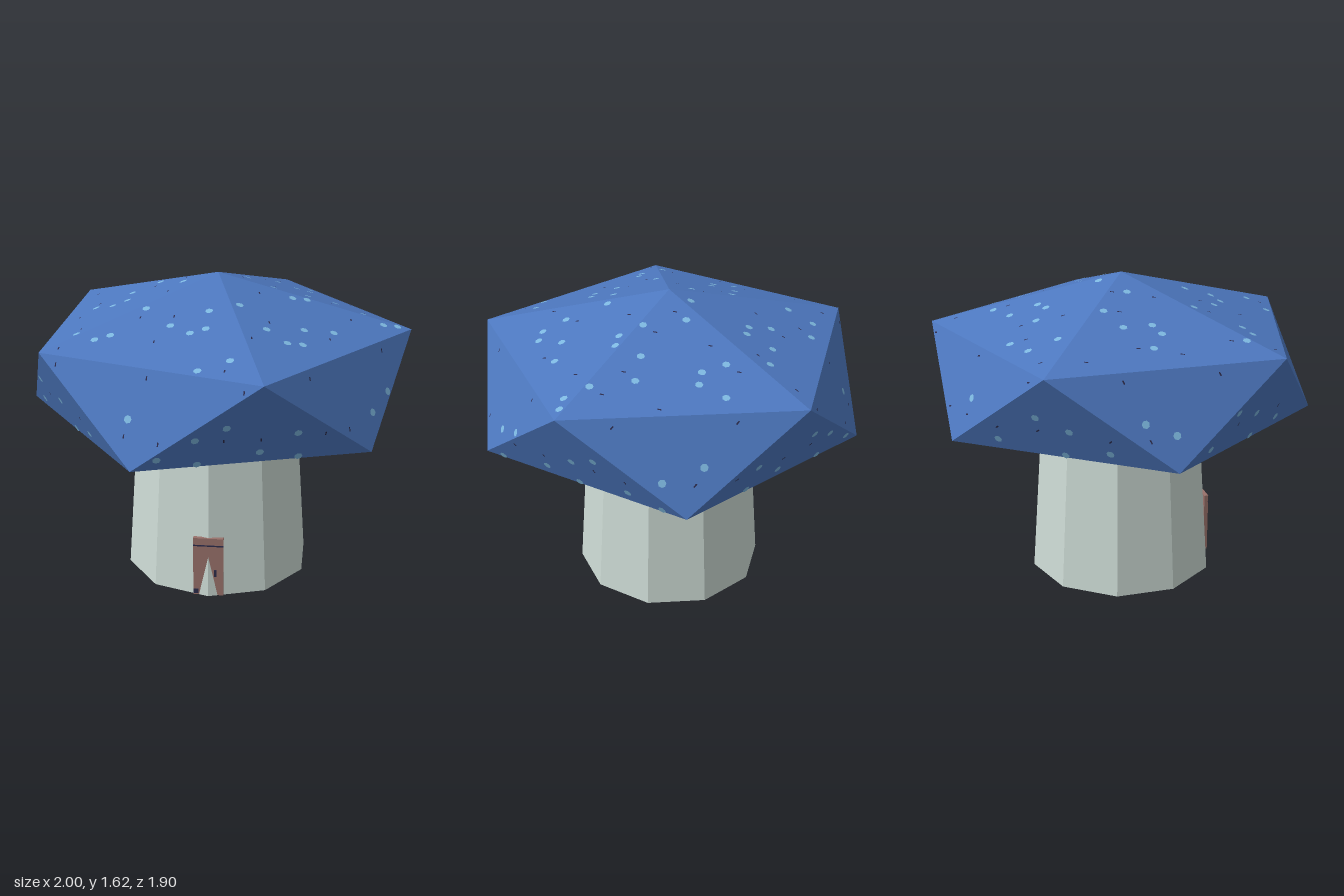
import * as THREE from 'three';
import { mergeGeometries } from 'three/addons/utils/BufferGeometryUtils.js';
import { ConvexGeometry } from 'three/addons/geometries/ConvexGeometry.js';

const material = (name, color, flatShading = true) => {
  const m = new THREE.MeshStandardMaterial({ color, flatShading });
  m.name = name;
  return m;
};

// Squashed icosahedron: two poles and two staggered rings of five
function capGeometry() {
  const points = [new THREE.Vector3(0, 1.62, 0), new THREE.Vector3(0, 0.625, 0)];
  for (let i = 0; i < 5; i++) {
    const a = (i * Math.PI * 2) / 5;
    points.push(new THREE.Vector3(Math.cos(a), 1.345, Math.sin(a)));
    points.push(new THREE.Vector3(-Math.cos(a), 0.9, Math.sin(a)));
  }
  return new ConvexGeometry(points);
}

// Repeats a cell of dots over the cap faces, projected along each face's main axis
function scatter(cap, cell, makeDot) {
  const period = 0.467;
  const pos = cap.attributes.position;
  const dots = [];
  const p = new THREE.Vector3(), n = new THREE.Vector3(), bary = new THREE.Vector3();
  const facing = new THREE.Vector3(0, 0, 1);
  for (let f = 0; f < pos.count; f += 3) {
    const [a, b, c] = [0, 1, 2].map((k) => new THREE.Vector3().fromBufferAttribute(pos, f + k));
    const face = new THREE.Triangle(a, b, c);
    face.getNormal(n);
    if (n.y < -0.7) continue; // plain underside
    const d = n.dot(a);
    for (let i = -3; i <= 3; i++) for (let j = -3; j <= 3; j++) for (const [u0, v0] of cell) {
      const u = u0 + i * period, v = v0 + j * period, y = 1.405 - v;
      if (n.y > 0.7) p.set(u, (d - n.x * u - n.z * v) / n.y, v);
      else if (Math.abs(n.x) > Math.abs(n.z)) p.set((d - n.y * y + n.z * u) / n.x, y, -u);
      else p.set(u, y, (d - n.x * u - n.y * y) / n.z);
      face.getBarycoord(p, bary);
      if (Math.min(bary.x, bary.y, bary.z) < 0.02) continue;
      const g = makeDot();
      g.applyQuaternion(new THREE.Quaternion().setFromUnitVectors(facing, n));
      p.addScaledVector(n, 0.003);
      g.translate(p.x, p.y, p.z);
      dots.push(g);
    }
  }
  return mergeGeometries(dots);
}

export function createModel() {
  const model = new THREE.Group();
  model.name = 'mushroomHouse';
  const blue = material('capBlue', 0x4d78c0);
  const paleBlue = material('spotBlue', 0x7db8e0);
  const stemGrey = material('stemGrey', 0xcddbd5);
  const doorBrown = material('doorBrown', 0x98716a);
  const dark = material('darkDetail', 0x2b2a4a);
  const cream = material('cream', 0xdcd8c4);

  const add = (name, geometry, mat, x = 0, y = 0, z = 0) => {
    const mesh = new THREE.Mesh(geometry, mat);
    mesh.name = name;
    mesh.position.set(x, y, z);
    model.add(mesh);
    return mesh;
  };

  // Ten-sided tapering stem, its top hidden in the cap
  add('stem', new THREE.CylinderGeometry(0.428, 0.5, 1, 10), stemGrey, 0, 0.5, 0);

  // Cap with pale spots and tiny flecks
  const cap = capGeometry();
  add('cap', cap, blue);
  const spots = [[0.137, 0.285], [0.282, 0.445], [0.387, 0.05], [0.46, 0.023], [0.46, 0.345]];
  add('capSpots', scatter(cap, spots, () => new THREE.CircleGeometry(0.02, 7)), paleBlue);
  const flecks = [[0.12, 0.36], [0.29, 0.37], [0.22, 0.1]];
  add('capFlecks', scatter(cap, flecks, () => new THREE.PlaneGeometry(0.007, 0.02)), dark);

  // Door, pierced by the front ridge of the stem
  add('door', new THREE.BoxGeometry(0.158, 0.33, 0.022), doorBrown, 0, 0.165, 0.473);
  add('doorBand', new THREE.BoxGeometry(0.158, 0.007, 0.004), dark, 0, 0.288, 0.484);
  add('doorHandle', new THREE.BoxGeometry(0.014, 0.04, 0.006), dark, 0.037, 0.13, 0.486);
  add('doorHinge', new THREE.BoxGeometry(0.025, 0.025, 0.004), dark, -0.065, 0.02, 0.484);

  // Small pebble-like bud under the cap
  const bud = add('bud', new THREE.IcosahedronGeometry(0.03, 0), cream, 0.278, 0.775, 0.425);
  bud.scale.set(1, 0.6, 0.8);

  return model;
}
